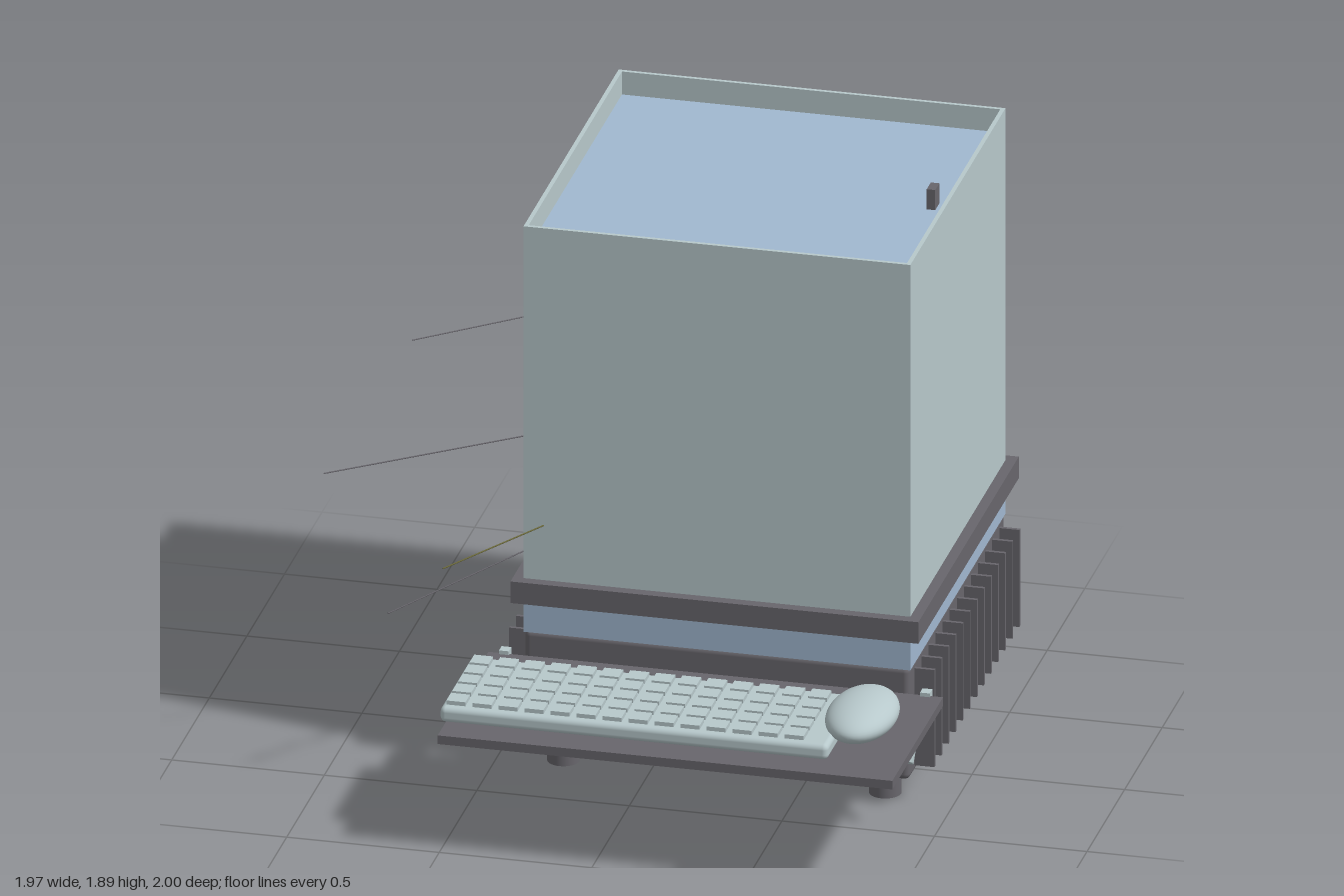
import * as THREE from 'three';
import { RoundedBoxGeometry } from 'three/addons/geometries/RoundedBoxGeometry.js';

const makeMaterial = (name, color, extra = {}) => {
  const m = new THREE.MeshStandardMaterial({ color, ...extra });
  m.name = name;
  return m;
};

export function createModel() {
  const model = new THREE.Group();
  model.name = 'tankComputer';
  const dark = makeMaterial('darkGrey', 0x68666c);
  const pale = makeMaterial('paleGrey', 0xb7c8cb);
  const blue = makeMaterial('paleBlue', 0xa1b8d0);
  const olive = makeMaterial('olive', 0x6c6a3c);

  const add = (name, geometry, material, parent = model) => {
    const mesh = new THREE.Mesh(geometry, material);
    mesh.name = name;
    parent.add(mesh);
    return mesh;
  };
  const group = (name) => {
    const g = new THREE.Group();
    g.name = name;
    model.add(g);
    return g;
  };
  // Box given by its extents; a radius rounds its edges
  const box = (name, mat, [x0, x1], [y0, y1], [z0, z1], parent = model, r = 0) => {
    const s = [x1 - x0, y1 - y0, z1 - z0];
    const geo = r ? new RoundedBoxGeometry(...s, 3, r) : new THREE.BoxGeometry(...s);
    const mesh = add(name, geo, mat, parent);
    mesh.position.set((x0 + x1) / 2, (y0 + y1) / 2, (z0 + z1) / 2);
    return mesh;
  };
  // Straight round rod between two points
  const rod = (name, mat, a, b, r, parent = model, sides = 8) => {
    const p = new THREE.Vector3(...a), q = new THREE.Vector3(...b);
    const mesh = add(name, new THREE.CylinderGeometry(r, r, p.distanceTo(q), sides), mat, parent);
    mesh.position.copy(p).add(q).multiplyScalar(0.5);
    mesh.quaternion.setFromUnitVectors(new THREE.Vector3(0, 1, 0), q.sub(p).normalize());
    return mesh;
  };

  // Rounded base with feet
  const cx = 0.238, cz = -0.332;
  box('base', dark, [-0.393, 0.869], [0.093, 0.485], [-0.967, 0.303], model, 0.02);
  const feet = group('feet');
  for (const x of [-0.29, 0.765])
    for (const z of [0.2, -0.86])
      rod('foot', dark, [x, 0, z], [x, 0.11, z], 0.052, feet, 32);

  // Cooling fins on both sides
  const fins = group('coolingFins');
  for (let i = 0; i < 13; i++) {
    const z = -0.9 + i * 0.0942;
    box('fin', dark, [-0.459, -0.385], [0.12, 0.458], [z - 0.006, z + 0.006], fins);
    box('fin', dark, [0.861, 0.935], [0.12, 0.458], [z - 0.006, z + 0.006], fins);
  }

  // Blue body, dark collar and open-topped tank wall
  box('body', blue, [-0.396, 0.872], [0.478, 0.62], [-0.965, 0.301]);
  box('collar', dark, [-0.43, 0.907], [0.59, 0.665], [-1, 0.337]);
  const outline = new THREE.Shape([[-0.634, -0.633], [0.634, -0.633], [0.634, 0.633], [-0.634, 0.633]]
    .map(([x, y]) => new THREE.Vector2(x, y)));
  const t = 0.62;
  outline.holes.push(new THREE.Path([[-t, -t], [-t, t], [t, t], [t, -t]]
    .map(([x, y]) => new THREE.Vector2(x, y))));
  const wall = add('tankWall',
    new THREE.ExtrudeGeometry(outline, { depth: 1.23, bevelEnabled: false }).rotateX(-Math.PI / 2), pale);
  wall.position.set(cx, 0.66, cz);
  box('tankLid', blue, [cx - t, cx + t], [1.78, 1.81], [cz - t, cz + t]);
  box('lidHandle', dark, [0.775, 0.803], [1.805, 1.88], [-0.365, -0.31]);

  // Connector panel on the back
  const panel = group('backPanel');
  box('panelPlate', pale, [-0.05, 0.53], [0.175, 0.395], [-0.975, -0.96], panel);
  const px = (u) => 0.53 - 0.58 * u;
  const socket = (u, y, r) => rod('socket', dark, [px(u), y, -0.97], [px(u), y, -0.979], r, panel, 16);
  for (let i = 0; i < 8; i++) socket(0.08 + i * 0.12, 0.235, 0.02);
  for (let i = 0; i < 3; i++) socket(0.08 + i * 0.11, 0.33, 0.014);
  box('slot', dark, [px(0.6), px(0.52)], [0.322, 0.338], [-0.979, -0.97], panel);
  box('port', dark, [px(0.81), px(0.71)], [0.3, 0.36], [-0.979, -0.97], panel);

  // Fold-out tray, hinges and diagonal stays
  box('tray', dark, [-0.505, 0.985], [0.377, 0.407], [0.325, 1]);
  for (const side of [-1, 1]) {
    const x = cx + side * 0.674;
    box('hinge', pale, [x - 0.016 + side * 0.016, x + 0.016 + side * 0.016], [0.355, 0.42], [0.3, 0.335]);
    const stay = add('stay', new THREE.BoxGeometry(0.022, 0.21, 0.02), pale);
    stay.position.set(x, 0.313, 0.405);
    stay.rotation.x = -0.73;
  }

  // Keyboard with a grid of keys
  const keyboard = group('keyboard');
  box('keyboardCase', pale, [-0.522, 0.75], [0.41, 0.463], [0.488, 0.908], keyboard, 0.018);
  for (let row = 0; row < 5; row++)
    for (let col = 0; col < 14; col++) {
      const x = -0.475 + col * 0.0853, z = 0.541 + row * 0.077;
      box('key', pale, [x - 0.031, x + 0.031], [0.455, 0.477], [z - 0.031, z + 0.031], keyboard);
    }

  // Mouse
  const mouse = add('mouse', new THREE.SphereGeometry(1, 40, 24), pale);
  mouse.scale.set(0.113, 0.062, 0.195);
  mouse.position.set(0.803, 0.473, 0.658);

  // Pens lying on the tray
  rod('pen', dark, [0.49, 0.416, 0.408], [0.79, 0.416, 0.466], 0.009);
  rod('shortPen', dark, [0.04, 0.416, 0.4], [0.115, 0.416, 0.447], 0.01);

  // Fine needles at the right-hand front corner
  const needles = group('needles');
  rod('needle', dark, [-0.98, 1.09, 0.585], [-0.39, 1.1, 0.14], 0.0022, needles);
  rod('needle', dark, [-0.77, 0.625, 0.585], [-0.39, 0.725, 0.18], 0.0022, needles);
  rod('needle', dark, [-0.69, 1.585, 0.585], [-0.39, 1.55, 0.23], 0.0022, needles);
  rod('needle', olive, [-0.59, 0.8, 0.585], [-0.33, 0.855, 0.3], 0.0025, needles);

  return model;
}
